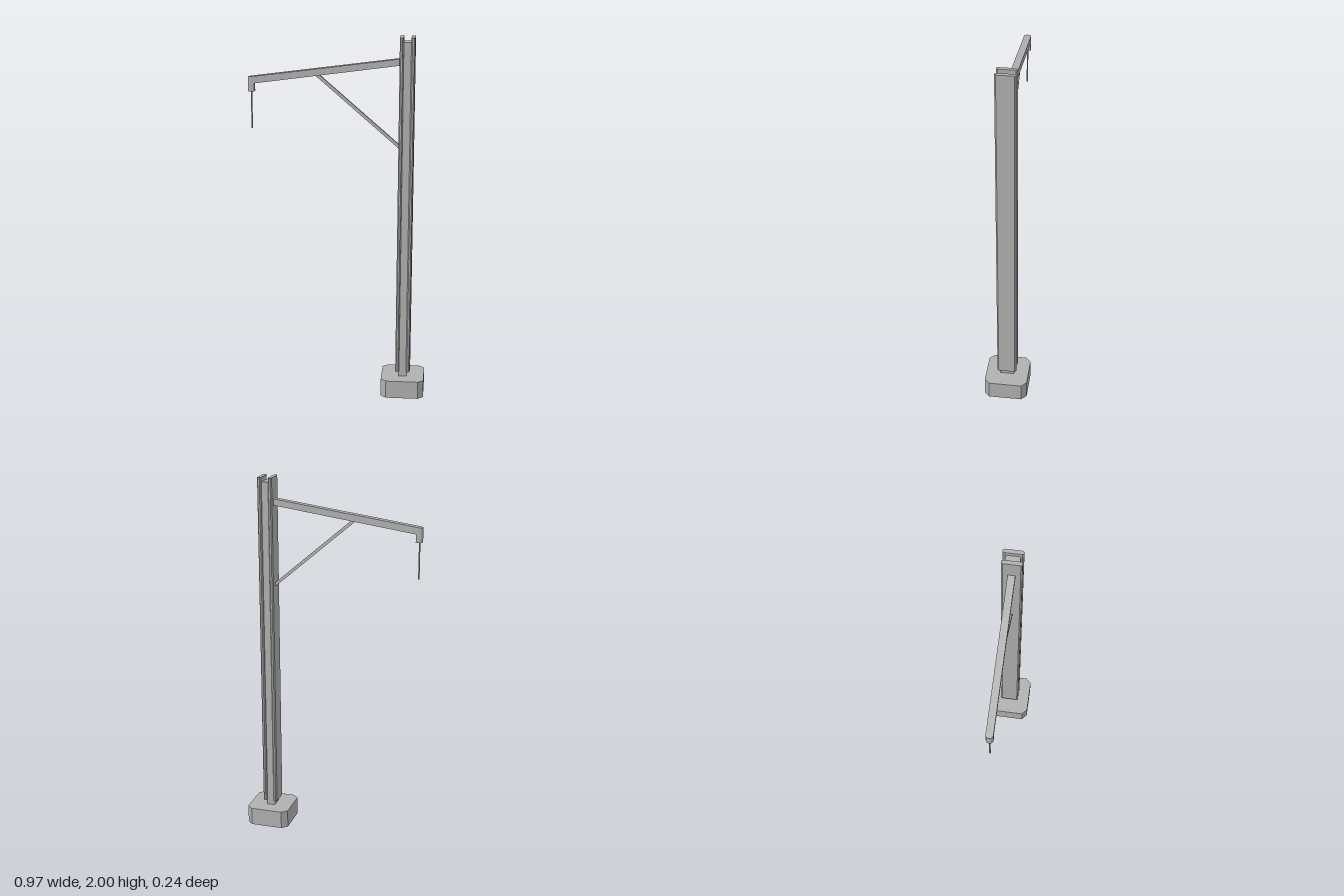
import * as THREE from 'three';

export function createModel() {
  const model = new THREE.Group();
  const steel = new THREE.MeshStandardMaterial({ color: 0xb0b0b0, flatShading: true });
  steel.name = 'grey';

  function add(name, geometry, x = 0, y = 0, z = 0) {
    const mesh = new THREE.Mesh(geometry, steel);
    mesh.name = name;
    mesh.position.set(x, y, z);
    model.add(mesh);
    return mesh;
  }

  // Upright prism from a plan outline, standing on y = 0
  function prism(points, height) {
    const shape = new THREE.Shape(points.map(([x, z]) => new THREE.Vector2(x, -z)));
    return new THREE.ExtrudeGeometry(shape, { depth: height, bevelEnabled: false }).rotateX(-Math.PI / 2);
  }

  // Rectangle outline with cut corners
  function chamfered(hx, hz, cx, cz) {
    return [
      [hx, hz - cz], [hx - cx, hz], [cx - hx, hz], [-hx, hz - cz],
      [-hx, cz - hz], [cx - hx, -hz], [hx - cx, -hz], [hx, cz - hz],
    ];
  }

  // Side profile extruded evenly about z = 0
  function slab(points, width) {
    const shape = new THREE.Shape(points.map(([x, y]) => new THREE.Vector2(x, y)));
    return new THREE.ExtrudeGeometry(shape, { depth: width, bevelEnabled: false }).translate(0, 0, -width / 2);
  }

  const postX = 0.364;

  // Foundation block
  add('foundation', prism(chamfered(0.119, 0.118, 0.03, 0.028), 0.1), postX, 0, -0.001);

  // Post: web between two flanges
  add('postWeb', new THREE.BoxGeometry(0.046, 1.885, 0.075), postX, 1.0325, 0);
  for (const side of [-1, 1]) {
    add('postFlange', prism(chamfered(0.0105, 0.053, 0.006, 0.008), 1.87), postX + side * 0.03, 0.13, 0);
  }

  // Sloping arm and its diagonal brace
  add('arm', slab([[-0.468, 1.742], [0.328, 1.85], [0.328, 1.885], [-0.468, 1.78]], 0.038));
  add('brace', slab([[-0.124, 1.79], [0.328, 1.399], [0.328, 1.421], [-0.1, 1.792]], 0.016));

  // Rounded drop head at the arm tip, top following the arm's slope
  const outline = [[-0.45, -0.019], [-0.45, 0.019]];
  for (let i = 0; i <= 6; i++) {
    const a = Math.PI / 2 + (i * Math.PI) / 6;
    outline.push([-0.468 + 0.017 * Math.cos(a), 0.019 * Math.sin(a)]);
  }
  const head = prism(outline, 0.08);
  const pos = head.attributes.position;
  for (let i = 0; i < pos.count; i++) {
    if (pos.getY(i) > 0.04) pos.setY(i, 0.08 + (pos.getX(i) + 0.468) * 0.132);
  }
  head.computeVertexNormals();
  add('armHead', head, 0, 1.7, 0);

  // Thin hanging rod
  add('dropRod', new THREE.CylinderGeometry(0.004, 0.004, 0.22, 8), -0.467, 1.61, 0);

  return model;
}
